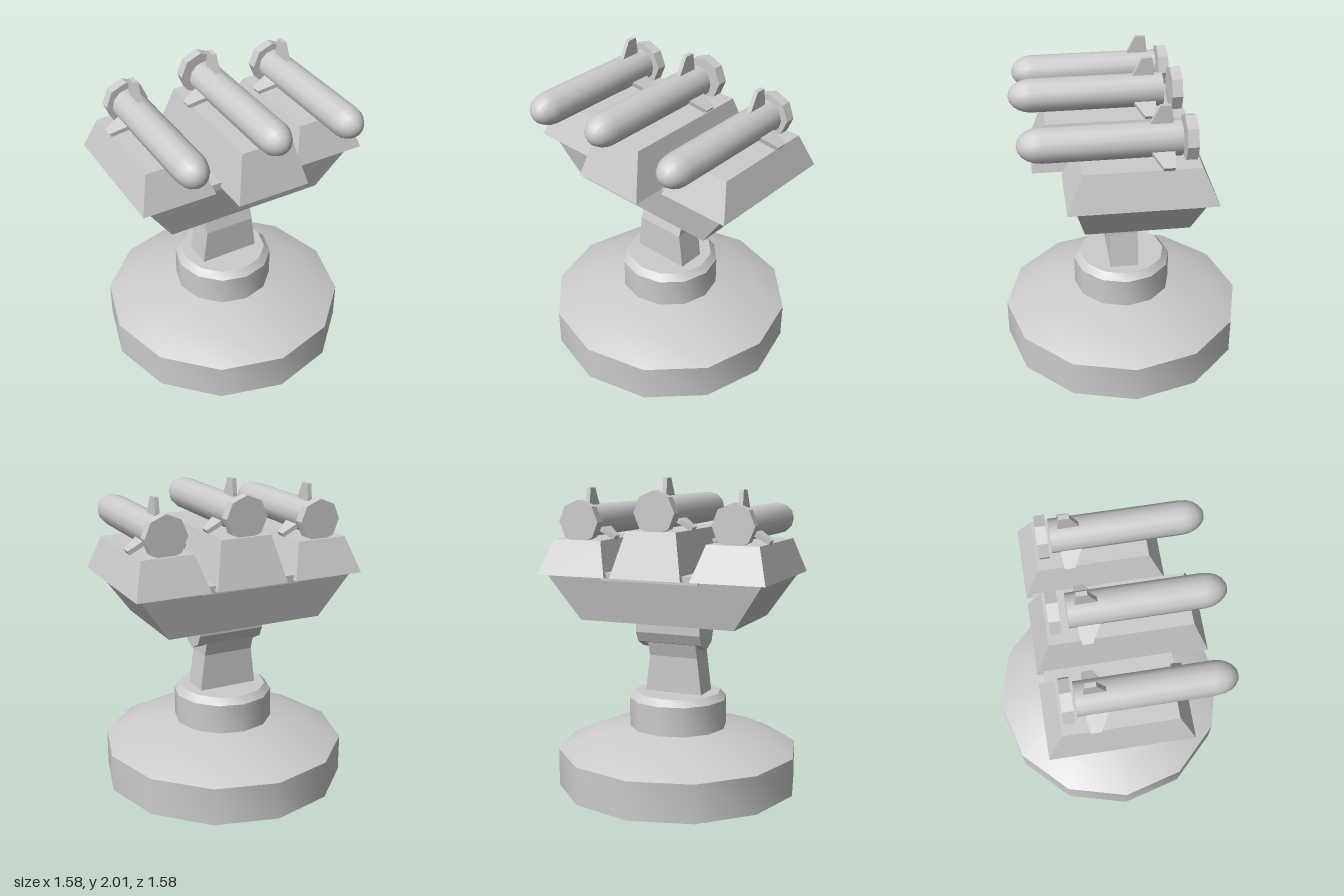
import * as THREE from 'three';
import { toCreasedNormals } from 'three/addons/utils/BufferGeometryUtils.js';

const material = new THREE.MeshStandardMaterial({ color: 0xcccccc });
const shellMaterial = new THREE.MeshStandardMaterial({ color: 0xcccccc, side: THREE.DoubleSide });

function part(name, geometry, mat = material) {
  const mesh = new THREE.Mesh(geometry, mat);
  mesh.name = name;
  return mesh;
}

// Surface of revolution, smooth around and sharp at strong profile bends
function turned(profile, sides) {
  const points = profile.map(([r, y]) => new THREE.Vector2(r, y));
  return toCreasedNormals(new THREE.LatheGeometry(points, sides), 0.6);
}

// Box with separate rectangles [x0, x1, z0, z1] for its bottom and top
function frustum(y0, y1, bottom, top) {
  const g = new THREE.BoxGeometry(1, 1, 1);
  const p = g.attributes.position;
  for (let i = 0; i < p.count; i++) {
    const rect = p.getY(i) < 0 ? bottom : top;
    p.setXYZ(i, rect[p.getX(i) < 0 ? 0 : 1], p.getY(i) < 0 ? y0 : y1, rect[p.getZ(i) < 0 ? 2 : 3]);
  }
  g.computeVertexNormals();
  return g;
}

// Side profile of [z, y] points extruded across x from x0 to x1
function sideProfile(points, x0, x1) {
  const shape = new THREE.Shape(points.map(([z, y]) => new THREE.Vector2(z, y)));
  const g = new THREE.ExtrudeGeometry(shape, { depth: x1 - x0, bevelEnabled: false });
  return g.rotateY(-Math.PI / 2).translate(x1, 0, 0);
}

// One missile along +z, with z = 0 at its rear end
function createMissile(length, discZ) {
  const missile = new THREE.Group();
  const r = 0.103, nose = 0.14;
  const profile = [[0, 0], [r, 0], [r, length - nose]];
  for (let i = 1; i <= 5; i++) {
    const a = (i / 5) * Math.PI / 2;
    profile.push([r * Math.cos(a), length - nose + nose * Math.sin(a)]);
  }
  missile.add(part('missileBody', turned(profile, 12).rotateX(Math.PI / 2)));

  // Three swept fins, one of them upright
  const fin = [[0.05, 0.07], [0.18, 0.07], [0.18, 0.1], [0.125, 0.208], [0.062, 0.208], [0.05, 0.12]];
  for (let i = 0; i < 3; i++) {
    const mesh = part('missileFin', sideProfile(fin, -0.014, 0.014));
    mesh.rotation.z = i * Math.PI * 2 / 3;
    missile.add(mesh);
  }

  // Octagonal tail plate set just behind the body
  const disc = new THREE.CylinderGeometry(0.136, 0.136, 0.065, 8);
  disc.rotateX(Math.PI / 2).translate(0, 0, discZ);
  missile.add(part('tailPlate', toCreasedNormals(disc, 0.5)));
  return missile;
}

export function createModel() {
  const model = new THREE.Group();
  model.name = 'missileTurret';

  // Hollow base, open underneath, with a raised collar
  model.add(part('base', turned([
    [0.79, 0], [0.79, 0.245], [0.6, 0.335], [0.32, 0.39],
    [0.32, 0.58], [0.28, 0.622], [0, 0.622],
  ], 12), shellMaterial));

  // Neck, narrowing upward and leaning back at the top
  const neck = sideProfile([
    [0.095, 0.6], [-0.085, 0.6], [-0.085, 0.86], [-0.12, 0.97], [0.058, 0.97], [0.095, 0.85],
  ], -1, 1);
  const p = neck.attributes.position;
  for (let i = 0; i < p.count; i++) {
    const t = THREE.MathUtils.clamp((p.getY(i) - 0.62) / 0.235, 0, 1);
    p.setX(i, p.getX(i) * THREE.MathUtils.lerp(0.198, 0.166, t));
  }
  neck.computeVertexNormals();
  model.add(part('neck', neck));

  // Hinge block
  model.add(part('hinge', sideProfile([
    [0.085, 1.12], [0.085, 1.03], [0.058, 0.955], [-0.035, 0.91],
    [-0.122, 0.955], [-0.155, 1.02], [-0.155, 1.12],
  ], -0.21, 0.233)));

  // Tray that carries the pods, and the deck visible between them
  model.add(part('tray', frustum(1.11, 1.4, [-0.51, 0.525, -0.35, 0.285], [-0.705, 0.73, -0.415, 0.35])));
  model.add(part('deck', frustum(1.38, 1.43, [-0.31, 0.34, -0.43, 0.35], [-0.31, 0.34, -0.43, 0.35])));

  // Three pods, the middle one taller and longer, each with a missile
  const pods = [
    { name: 'rightPod', x: -0.505, top: 1.62, front: 0.4, missileX: -0.5, y: 1.732, rear: -0.275 },
    { name: 'middlePod', x: 0.024, top: 1.685, front: 0.575, missileX: 0.01, y: 1.797, rear: -0.245 },
    { name: 'leftPod', x: 0.533, top: 1.62, front: 0.4, missileX: 0.53, y: 1.732, rear: -0.275 },
  ];
  for (const d of pods) {
    const pod = new THREE.Group();
    pod.name = d.name;
    pod.add(part('launchBlock', frustum(1.4, d.top,
      [d.x - 0.236, d.x + 0.236, -0.47, d.front],
      [d.x - 0.167, d.x + 0.167, -0.375, d.front - 0.095])));
    const missile = createMissile(0.935, -0.323 - d.rear);
    missile.name = 'missile';
    missile.position.set(d.missileX, d.y, d.rear);
    pod.add(missile);
    model.add(pod);
  }
  return model;
}
